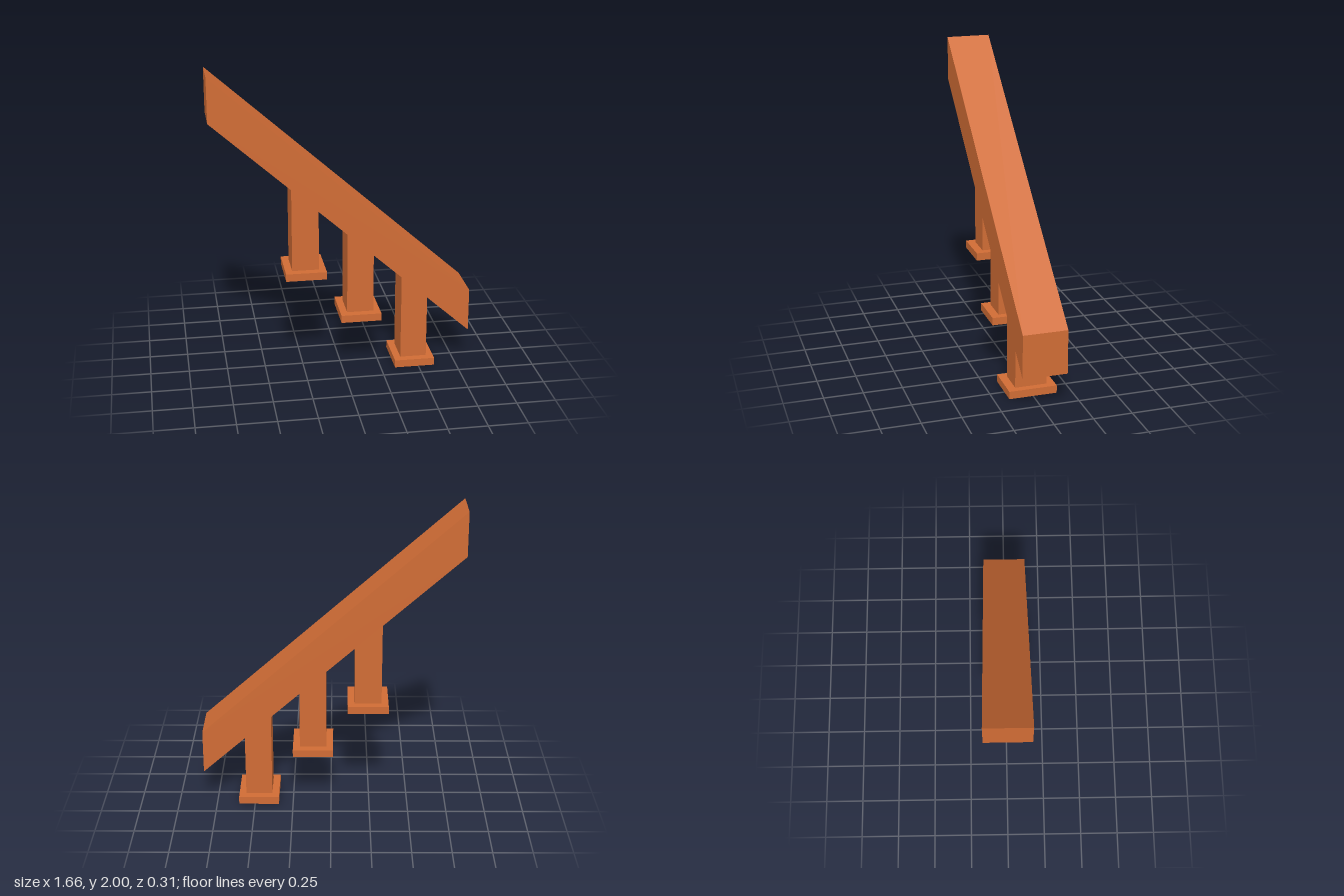
import * as THREE from 'three';

const material = new THREE.MeshStandardMaterial({ color: 0xd06c35 });

// Height of the beam's sloping underside at x
const SLOPE = -1.48 / 1.66;
const underside = (x) => 0.975 + SLOPE * x;

// Extrude a front outline, centred on z = 0
function slab(name, points, depth) {
  const shape = new THREE.Shape(points.map(([x, y]) => new THREE.Vector2(x, y)));
  const geometry = new THREE.ExtrudeGeometry(shape, { depth, bevelEnabled: false });
  geometry.translate(0, 0, -depth / 2);
  const mesh = new THREE.Mesh(geometry, material);
  mesh.name = name;
  return mesh;
}

export function createModel() {
  const model = new THREE.Group();
  model.name = 'slopedBeamOnPosts';

  // Sloping beam with vertical ends
  const end = 0.83, thick = 0.285;
  model.add(slab('beam', [
    [-end, underside(-end)], [end, underside(end)],
    [end, underside(end) + thick], [-end, underside(-end) + thick],
  ], 0.286));

  // Stepped supports: a foot plate and a post cut to the slope
  const footHeight = 0.05, half = 0.086;
  [[-0.238, 0.66], [0.117, 0.348], [0.474, 0]].forEach(([x, y]) => {
    const support = new THREE.Group();
    support.name = 'support';

    const foot = new THREE.Mesh(new THREE.BoxGeometry(0.262, footHeight, 0.31), material);
    foot.name = 'foot';
    foot.position.set(x, y + footHeight / 2, 0);

    const post = slab('post', [
      [x - half, y + footHeight], [x + half, y + footHeight],
      [x + half, underside(x + half)], [x - half, underside(x - half)],
    ], 0.206);

    support.add(foot, post);
    model.add(support);
  });

  return model;
}
